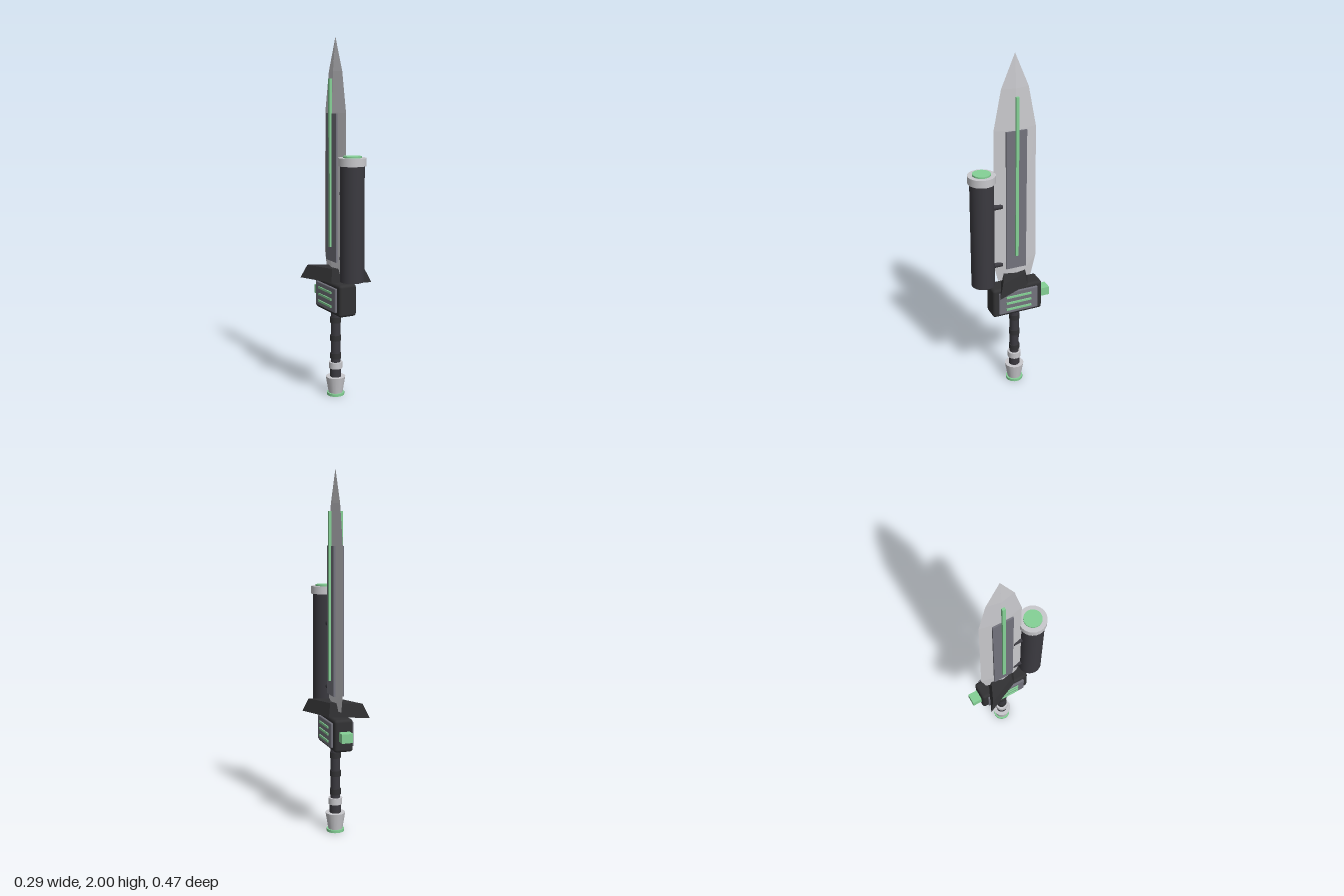
import * as THREE from 'three';
import { RoundedBoxGeometry } from 'three/addons/geometries/RoundedBoxGeometry.js';

const material = (name, color) => {
  const m = new THREE.MeshStandardMaterial({ color });
  m.name = name;
  return m;
};

// Joins rings of four [x, z] corners at given heights into a flat-sided, capped solid
function loft(rings) {
  const pos = [];
  const pt = (i, j) => [rings[i].pts[j % 4][0], rings[i].y, rings[i].pts[j % 4][1]];
  const tri = (a, b, c) => pos.push(...a, ...b, ...c);
  const last = rings.length - 1;
  for (let i = 0; i < last; i++) {
    for (let j = 0; j < 4; j++) {
      tri(pt(i, j), pt(i, j + 1), pt(i + 1, j + 1));
      tri(pt(i, j), pt(i + 1, j + 1), pt(i + 1, j));
    }
  }
  for (const j of [1, 2]) {
    tri(pt(0, 0), pt(0, j + 1), pt(0, j));
    tri(pt(last, 0), pt(last, j), pt(last, j + 1));
  }
  const g = new THREE.BufferGeometry();
  g.setAttribute('position', new THREE.Float32BufferAttribute(pos, 3));
  g.computeVertexNormals();
  return g;
}

export function createModel() {
  const group = new THREE.Group();
  group.name = 'sword';
  const steel = material('light steel', 0xc9c9cd);
  const grey = material('panel grey', 0x73737d);
  const dark = material('dark metal', 0x3b3a40);
  const black = material('guard black', 0x323234);
  const green = material('glow green', 0x85d196);
  const axisZ = -0.032;

  const add = (name, geo, mat, x = 0, y = 0, z = axisZ) => {
    const mesh = new THREE.Mesh(geo, mat);
    mesh.name = name;
    mesh.position.set(x, y, z);
    group.add(mesh);
    return mesh;
  };
  const box = (name, mat, w, h, d, x, y, z) =>
    add(name, new THREE.BoxGeometry(w, h, d), mat, x, y, z);
  // Upright round part between two heights
  const round = (name, mat, y0, y1, r0, r1, z = axisZ, sides = 16) =>
    add(name, new THREE.CylinderGeometry(r1, r0, y1 - y0, sides), mat, 0, (y0 + y1) / 2, z);

  // Diamond-section blade: height, half thickness, half width
  const sections = [
    [0.7, 0.026, 0.1], [0.82, 0.028, 0.129], [1.6, 0.024, 0.12],
    [1.82, 0.015, 0.077], [2, 0.0005, 0.001],
  ];
  add('blade', loft(sections.map(([y, x, z]) => ({
    y, pts: [[0, z], [x, 0], [0, -z], [-x, 0]],
  }))), steel);

  // Slanted rhombus guard, tapering upward
  const rhombus = (y, s) => ({
    y, pts: [[0.147 * s, 0.147 * s], [0.056 * s, -0.057 * s],
      [-0.147 * s, -0.147 * s], [-0.056 * s, 0.057 * s]],
  });
  add('guard', loft([rhombus(0.67, 1), rhombus(0.745, 0.8)]), black);

  // Housing below the guard
  add('housing', new RoundedBoxGeometry(0.106, 0.18, 0.3, 2, 0.016), black, 0, 0.58);
  box('button', green, 0.062, 0.05, 0.065, 0, 0.58, -0.205);

  // Blade and housing trim on both sides
  for (const side of [1, -1]) {
    const label = side > 0 ? 'left' : 'right';
    box(label + 'BladePanel', grey, 0.009, 0.815, 0.118, side * 0.0245, 1.188, -0.031);
    box(label + 'BladeStrip', green, 0.014, 0.92, 0.017, side * 0.033, 1.32, axisZ);
    add(label + 'HousingPanel', new RoundedBoxGeometry(0.016, 0.138, 0.238, 1, 0.006),
      grey, side * 0.058, 0.58);
    for (const y of [0.54, 0.58, 0.618]) {
      box(label + 'HousingLight', green, 0.008, 0.012, 0.152, side * 0.068, y, axisZ);
    }
  }

  // Barrel with collar and glowing cap
  const barrelZ = 0.158;
  round('barrel', dark, 0.7, 1.34, 0.066, 0.066, barrelZ, 24);
  round('barrelCollar', steel, 1.325, 1.368, 0.076, 0.076, barrelZ, 24);
  round('barrelCap', green, 1.36, 1.377, 0.05, 0.05, barrelZ, 24);
  for (const y of [0.807, 1.165]) {
    const strut = add('barrelStrut', new THREE.CylinderGeometry(0.016, 0.016, 0.105, 12),
      dark, 0, y, 0.0955);
    strut.rotation.x = Math.PI / 2;
  }

  // Grip with raised bands
  round('grip', dark, 0.1, 0.5, 0.027, 0.027);
  for (const y of [0.23, 0.335, 0.44]) {
    round('gripBand', black, y - 0.016, y + 0.016, 0.031, 0.031);
  }

  // Pommel
  round('pommelRing', steel, 0.158, 0.194, 0.039, 0.039);
  round('pommelNeck', dark, 0.105, 0.16, 0.032, 0.032);
  round('pommel', steel, 0.013, 0.108, 0.04, 0.056);
  round('pommelGlow', green, 0, 0.015, 0.05, 0.05);
  return group;
}
